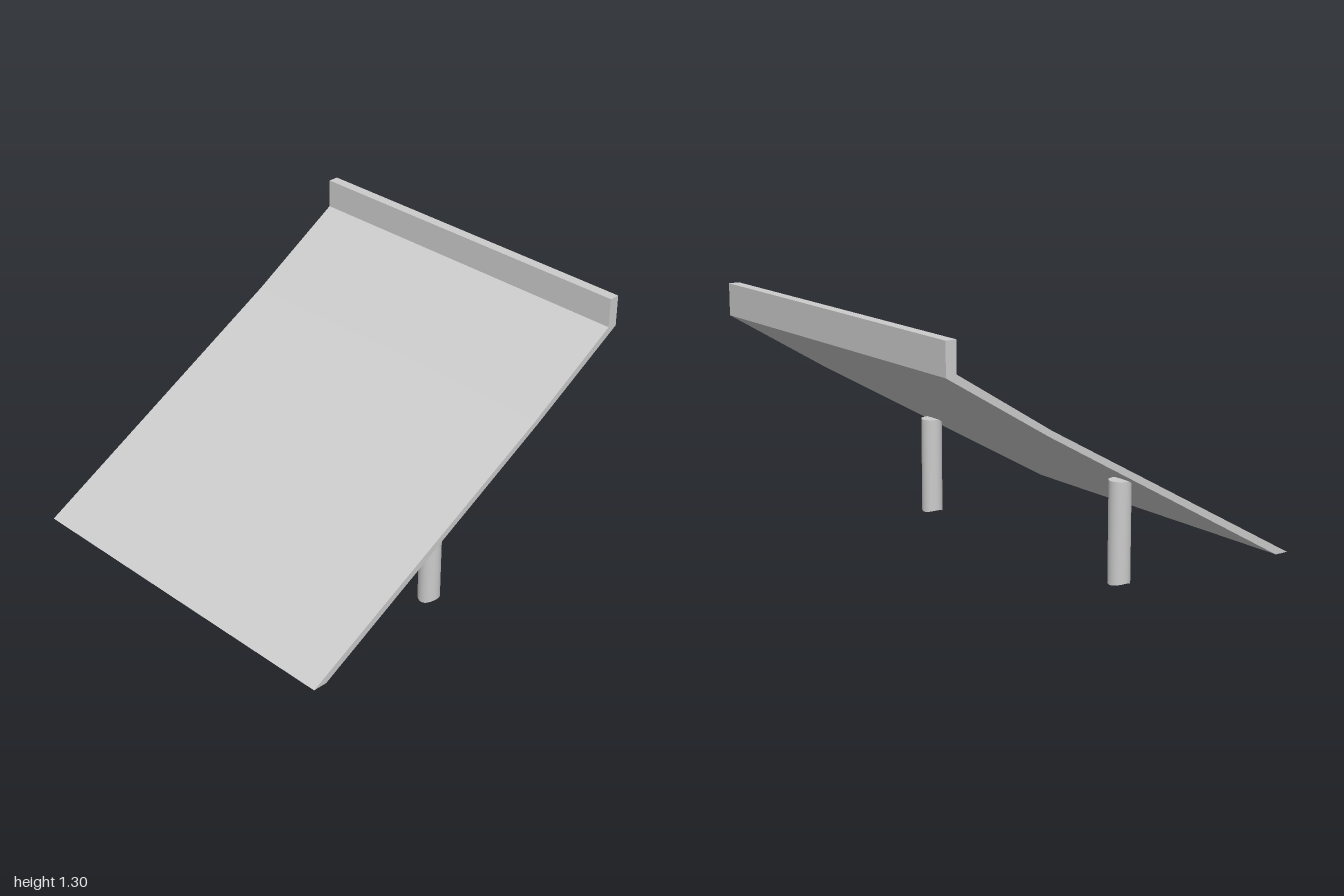
import * as THREE from 'three';

const material = new THREE.MeshStandardMaterial({ color: 0xcccccc });
const HALF_WIDTH = 0.957;

// Sloping panel with a slight bend and an upright lip, extruded across x
function makePanel() {
  const profile = [ // [z, y]
    [1, 0.04], [-0.44, 0.843], [-0.945, 1.155], [-0.945, 1.305],
    [-1, 1.305], [-1, 1.145], [-0.46, 0.82], [0.925, 0.04],
  ];
  const shape = new THREE.Shape(profile.map(([z, y]) => new THREE.Vector2(z, y)));
  const geometry = new THREE.ExtrudeGeometry(shape, { depth: 2 * HALF_WIDTH, bevelEnabled: false });
  geometry.rotateY(-Math.PI / 2).translate(HALF_WIDTH, 0, 0);
  const mesh = new THREE.Mesh(geometry, material);
  mesh.name = 'slopedPanel';
  return mesh;
}

// Round leg whose foot is scooped by a shallow arch running along x
function makeLeg(side) {
  const radius = 0.054, height = 0.51;
  const geometry = new THREE.CylinderGeometry(radius, radius, height, 32);
  geometry.translate(0, height / 2, 0);
  const pos = geometry.attributes.position;
  for (let i = 0; i < pos.count; i++) {
    if (pos.getY(i) > 0.01) continue;
    const t = pos.getZ(i) / radius;
    pos.setY(i, 0.018 * (1 - t * t) + (t < 0 ? 0.008 * t * t : 0));
  }
  const mesh = new THREE.Mesh(geometry, material);
  mesh.position.set(side * 0.79, 0, 0.08);
  mesh.name = side > 0 ? 'leftLeg' : 'rightLeg';
  return mesh;
}

export function createModel() {
  const group = new THREE.Group();
  group.name = 'slopedStand';
  group.add(makePanel(), makeLeg(1), makeLeg(-1));
  return group;
}
